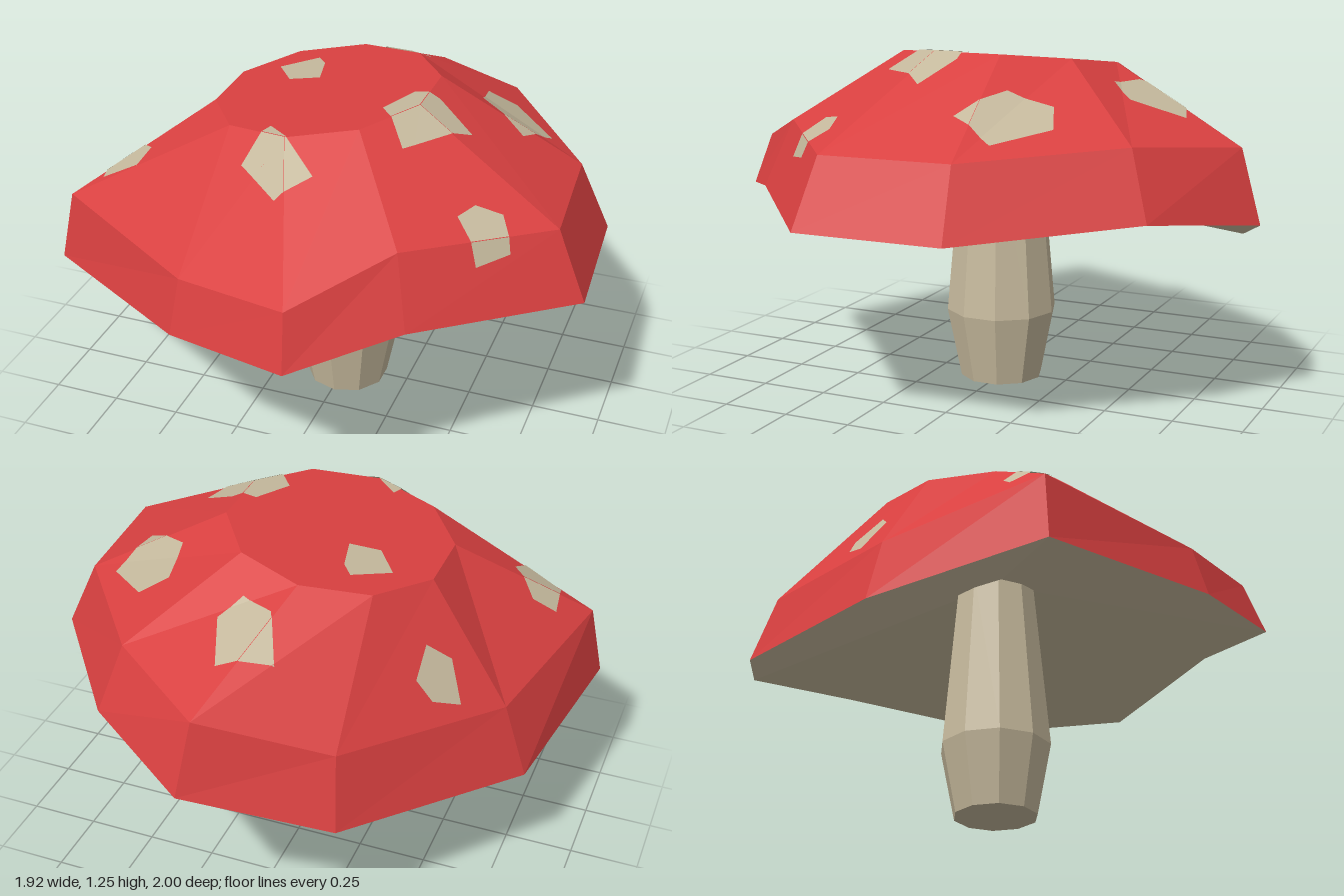
import * as THREE from 'three';

// Cap rings as [x, y, z], running from the front (+z) round towards +x
const RIM = [
  [0.15, 0.68, 1.0], [0.47, 0.745, 0.74], [0.96, 0.715, 0.32], [0.93, 0.71, -0.21], [0.53, 0.75, -0.74],
  [0.12, 0.69, -1.0], [-0.36, 0.54, -0.81], [-0.84, 0.475, -0.21], [-0.96, 0.55, 0.42], [-0.32, 0.62, 0.84],
];
const SHOULDER = [
  [0.13, 0.87, 0.93], [0.41, 0.985, 0.65], [0.85, 0.955, 0.28], [0.82, 0.955, -0.19], [0.46, 0.985, -0.66],
  [0.09, 0.945, -0.92], [-0.33, 0.79, -0.73], [-0.75, 0.73, -0.19], [-0.91, 0.81, 0.4], [-0.3, 0.815, 0.79],
];
// Spot outlines as [x, z], laid onto the cap from above
const SPOTS = [
  [[-0.09, -0.66], [0.09, -0.72], [0.16, -0.54], [0.1, -0.46], [-0.02, -0.51]],
  [[-0.54, -0.38], [-0.48, -0.38], [-0.48, -0.28], [-0.56, -0.24], [-0.62, -0.31]],
  [[-0.32, -0.17], [-0.2, -0.26], [-0.16, -0.21], [-0.13, -0.08], [-0.24, -0.06]],
  [[0.42, -0.37], [0.52, -0.41], [0.69, -0.26], [0.62, -0.1], [0.44, -0.21]],
  [[0.26, 0.02], [0.35, 0.02], [0.49, 0.1], [0.31, 0.31], [0.19, 0.16]],
  [[-0.15, 0.33], [-0.07, 0.4], [0.07, 0.51], [-0.03, 0.6], [-0.2, 0.47]],
  [[-0.8, 0.26], [-0.72, 0.22], [-0.63, 0.29], [-0.65, 0.37], [-0.79, 0.37]],
  [[0.58, 0.36], [0.67, 0.34], [0.72, 0.42], [0.63, 0.51], [0.54, 0.43]],
];
const SIDES = 10;

const toVec = (p) => new THREE.Vector3(...p);

function material(color) {
  return new THREE.MeshStandardMaterial({ color, flatShading: true });
}

function meshFromTriangles(name, triangles, mat) {
  const geometry = new THREE.BufferGeometry().setFromPoints(triangles.flat());
  geometry.computeVertexNormals();
  const mesh = new THREE.Mesh(geometry, mat);
  mesh.name = name;
  return mesh;
}

// Triangles of a band between two rings
function band(lower, upper) {
  return lower.flatMap((a, i) => {
    const j = (i + 1) % lower.length;
    return [[a, lower[j], upper[j]], [a, upper[j], upper[i]]];
  });
}

// Triangles from a ring to one point
const fan = (ring, tip) => ring.map((a, i) => [a, ring[(i + 1) % ring.length], tip]);

// Part of an [x, z] polygon that lies over a triangle
function clip(polygon, tri) {
  let out = polygon;
  for (let k = 0; k < 3 && out.length; k++) {
    const a = tri[k], b = tri[(k + 1) % 3];
    const side = ([x, z]) => (b.z - a.z) * (x - a.x) - (b.x - a.x) * (z - a.z);
    const next = [];
    out.forEach((p, i) => {
      const q = out[(i + 1) % out.length];
      const sp = side(p), sq = side(q);
      if (sp >= 0) next.push(p);
      if ((sp >= 0) !== (sq >= 0)) {
        const t = sp / (sp - sq);
        next.push([p[0] + (q[0] - p[0]) * t, p[1] + (q[1] - p[1]) * t]);
      }
    });
    out = next;
  }
  return out;
}

// Drape a spot over the cap faces, lifted slightly along each face normal
function drape(polygon, faces) {
  const result = [];
  for (const tri of faces) {
    const piece = clip(polygon, tri);
    if (piece.length < 3) continue;
    const n = new THREE.Triangle(...tri).getNormal(new THREE.Vector3());
    const points = piece.map(([x, z]) => {
      const y = tri[0].y - (n.x * (x - tri[0].x) + n.z * (z - tri[0].z)) / n.y;
      return new THREE.Vector3(x, y, z).addScaledVector(n, 0.004);
    });
    for (let i = 1; i < points.length - 1; i++) result.push([points[0], points[i], points[i + 1]]);
  }
  return result;
}

export function createModel() {
  const model = new THREE.Group();
  model.name = 'mushroom';
  const red = material(0xd94040);
  const cream = material(0xc8bb9e);
  const spotMaterial = material(0xc4b89c);
  spotMaterial.side = THREE.DoubleSide;

  // Cap: steep rim band, sloping shoulder and tilted flat top
  const rim = RIM.map(toVec);
  const shoulder = SHOULDER.map(toVec);
  const crown = rim.map((_, i) => {
    const a = (i / SIDES) * Math.PI * 2;
    const x = -0.07 + 0.4 * Math.sin(a);
    return new THREE.Vector3(x, 1.202 + 0.138 * x, 0.405 * Math.cos(a));
  });
  const faces = [
    ...band(rim, shoulder),
    ...band(shoulder, crown),
    ...fan(crown, new THREE.Vector3(-0.07, 1.192, 0)),
  ];
  model.add(meshFromTriangles('cap', faces, red));

  // Hollow underside rising to the stem
  const gills = fan([...rim].reverse(), new THREE.Vector3(0.01, 0.93, 0.01));
  model.add(meshFromTriangles('capUnderside', gills, cream));

  // Spots
  const spots = new THREE.Group();
  spots.name = 'spots';
  SPOTS.forEach((outline, i) => {
    spots.add(meshFromTriangles(`spot${i + 1}`, drape(outline, faces), spotMaterial));
  });
  model.add(spots);

  // Stem, widest a little above the ground
  const profile = [[0, 0], [0.153, 0], [0.205, 0.26], [0.147, 0.9], [0, 0.9]];
  const stem = new THREE.Mesh(
    new THREE.LatheGeometry(profile.map(([r, y]) => new THREE.Vector2(r, y)), SIDES), cream);
  stem.position.set(0.01, 0, 0.01);
  stem.name = 'stem';
  model.add(stem);

  return model;
}
